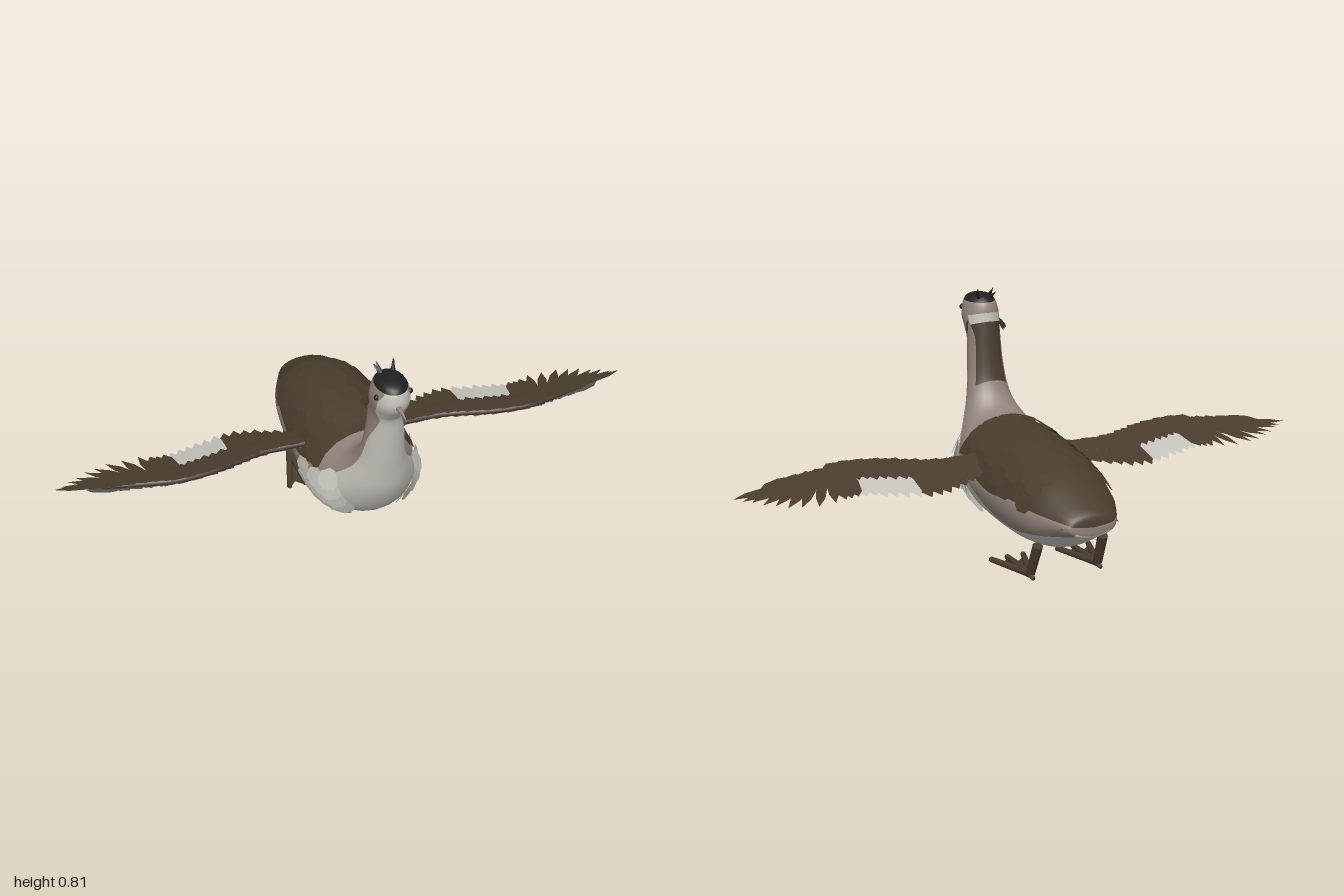
import * as THREE from 'three';
import { mergeGeometries } from 'three/addons/utils/BufferGeometryUtils.js';

const mat = (name, color) => Object.assign(new THREE.MeshStandardMaterial({ color, side: THREE.DoubleSide }), { name });
const V = (x, y, z) => new THREE.Vector3(x, y, z);

// Body stations, tail to crown: back z, y | belly z, y | half width | end angles of dark and mid bands
const RINGS = [
  [-0.518, 0.23, -0.518, 0.23, 0.001, 75, 120],
  [-0.514, 0.258, -0.514, 0.20, 0.065, 75, 120],
  [-0.50, 0.276, -0.50, 0.188, 0.088, 75, 135],
  [-0.45, 0.303, -0.45, 0.162, 0.115, 77, 128],
  [-0.36, 0.345, -0.36, 0.112, 0.152, 77, 119],
  [-0.25, 0.375, -0.25, 0.085, 0.172, 78, 123],
  [-0.10, 0.395, -0.12, 0.075, 0.18, 88, 120],
  [0.05, 0.405, 0.05, 0.082, 0.183, 80, 98],
  [0.14, 0.407, 0.17, 0.11, 0.17, 69, 93],
  [0.195, 0.415, 0.27, 0.175, 0.14, 50, 75],
  [0.235, 0.45, 0.34, 0.29, 0.10, 50, 80],
  [0.26, 0.50, 0.365, 0.40, 0.075, 50, 92],
  [0.275, 0.57, 0.383, 0.52, 0.063, 50, 105],
  [0.285, 0.65, 0.395, 0.62, 0.058, 52, 140],
  [0.292, 0.70, 0.415, 0.655, 0.06, 65, 122],
  [0.296, 0.73, 0.44, 0.69, 0.062, 68, 118],
  [0.30, 0.748, 0.45, 0.72, 0.059, 60, 118],
  [0.308, 0.763, 0.443, 0.76, 0.051, 60, 135],
  [0.33, 0.781, 0.42, 0.779, 0.034, 60, 120],
  [0.37, 0.789, 0.37, 0.789, 0.001, 60, 120],
];
// Band colours of each stretch: Dark, Taupe, Pale, Black
const BANDS = ['DTT', ...Array(7).fill('DTP'), 'TTP', 'TTP', 'TTP', 'DTP', 'DTP', 'DTP', 'PTP', 'TTP', 'TTP', 'BBB', 'BBB'];

// Smoothly interpolated station
function ringAt(u) {
  const last = RINGS.length - 1, i = Math.min(Math.floor(u), last - 1), f = u - i;
  const at = k => RINGS[Math.max(0, Math.min(last, k))];
  const [a, b, c, d] = [at(i - 1), at(i), at(i + 1), at(i + 2)];
  return b.map((_, k) => {
    const m0 = (c[k] - a[k]) / 2, m1 = (d[k] - b[k]) / 2;
    return b[k] + f * (m0 + f * (3 * (c[k] - b[k]) - 2 * m0 - m1 + f * (2 * (b[k] - c[k]) + m0 + m1)));
  });
}

// Surface point and outward normal; t runs from the back (0) over the left side to the belly (PI)
function skin(u, t) {
  const [bz, by, fz, fy, w] = ringAt(u);
  const az = (bz - fz) / 2, ay = (by - fy) / 2, h2 = az * az + ay * ay || 1, c = Math.cos(t), s = Math.sin(t);
  return {
    p: V(w * s, (by + fy) / 2 + ay * c, (bz + fz) / 2 + az * c),
    n: V(s / w, ay * c / h2, az * c / h2).normalize(),
  };
}

function bodyGeometry() {
  const SUB = 4, COUNTS = [4, 5, 6], HALF = 15, N = HALF * 2, rows = (RINGS.length - 1) * SUB;
  const pos = [], lists = { D: [], T: [], P: [], B: [] };
  for (let r = 0; r <= rows; r++) {
    const u = r / SUB, ring = ringAt(u), ends = [0, ring[5], ring[6], 180], angles = [0];
    COUNTS.forEach((n, k) => { for (let j = 1; j <= n; j++) angles.push(ends[k] + (ends[k + 1] - ends[k]) * j / n); });
    for (let j = 0; j < N; j++) {
      const deg = j <= HALF ? angles[j] : 360 - angles[N - j];
      pos.push(...skin(u, deg * Math.PI / 180).p.toArray());
    }
  }
  for (let r = 0; r < rows; r++) for (let j = 0; j < N; j++) {
    const k = j < HALF ? j : N - 1 - j, band = k < 4 ? 0 : k < 9 ? 1 : 2, q = (j + 1) % N;
    const a = r * N + j, b = a + N, c = r * N + q, d = c + N;
    lists[BANDS[Math.floor(r / SUB)][band]].push(a, b, c, c, b, d);
  }
  const g = new THREE.BufferGeometry();
  g.setAttribute('position', new THREE.Float32BufferAttribute(pos, 3));
  g.setIndex(Object.values(lists).flat());
  let start = 0;
  Object.values(lists).forEach((l, i) => { g.addGroup(start, l.length, i); start += l.length; });
  g.computeVertexNormals();
  return g;
}

// Flat pointed feather from base to tip
function feather(base, tip, width, normal) {
  const dir = tip.clone().sub(base), side = dir.clone().cross(normal).normalize().multiplyScalar(width);
  const outline = [[0, -0.3], [0.25, -0.5], [0.75, -0.42], [1, 0], [0.75, 0.42], [0.25, 0.5], [0, 0.3]];
  const g = new THREE.BufferGeometry();
  g.setAttribute('position', new THREE.Float32BufferAttribute(
    outline.flatMap(([a, b]) => base.clone().addScaledVector(dir, a).addScaledVector(side, b).toArray()), 3));
  g.setIndex([0, 1, 2, 0, 2, 3, 0, 3, 4, 0, 4, 5, 0, 5, 6]);
  g.computeVertexNormals();
  return g;
}

// Feather lying on the body, pointing to the tail
function bodyFeather(u, deg, len, width, lift, s) {
  const t = s * deg * Math.PI / 180, a = skin(u, t), b = skin(u - len, t);
  return feather(a.p.addScaledVector(a.n, 0.004), b.p.addScaledVector(b.n, lift), width, a.n);
}

// Tapered rod between two points
function rod(a, b, ra, rb, sides = 10) {
  const d = b.clone().sub(a), g = new THREE.CylinderGeometry(rb, ra, d.length(), sides);
  g.applyQuaternion(new THREE.Quaternion().setFromUnitVectors(V(0, 1, 0), d.clone().normalize()));
  return g.translate(...a.clone().add(b).multiplyScalar(0.5).toArray());
}

export function createModel() {
  const model = new THREE.Group();
  model.name = 'waterbird';
  const dark = mat('dark brown', 0x4a3d2e), taupe = mat('taupe', 0x94857d), pale = mat('pale grey', 0xc6c4bc);
  const black = mat('black', 0x202020), under = mat('wing underside grey', 0x575552);
  const add = (name, geo, material, parent = model) => {
    const m = new THREE.Mesh(Array.isArray(geo) ? mergeGeometries(geo) : geo, material);
    m.name = name;
    parent.add(m);
  };
  add('body', bodyGeometry(), [dark, taupe, pale, black]);
  add('bill', rod(V(0, 0.715, 0.435), V(0, 0.713, 0.515), 0.011, 0.001), taupe);

  // Back plumage with a slightly raised saddle row
  const back = [];
  for (let i = 0; i < 8; i++) for (let j = -3; j <= 3; j++) {
    const u = 8.1 - i * 0.5, deg = j * 21 + (i % 2 ? 7 : 0);
    if (Math.abs(deg) < 72) back.push(bodyFeather(u, deg, 0.75, 0.07, Math.abs(j) < 2 && i > 0 && i < 4 ? 0.016 : 0.007, 1));
  }
  add('backFeathers', back, dark);

  for (const s of [1, -1]) {
    const side = s > 0 ? 'left' : 'right';

    // Breast and flank plumage
    const flank = [];
    for (let i = 0; i < 5; i++) for (let j = 0; j < 4; j++)
      flank.push(bodyFeather(9.3 - i * 0.45, 86 + j * 15 + (i % 2) * 7, 0.8 - i * 0.05, 0.075, 0.024 - i * 0.002, s));
    add(side + 'FlankFeathers', flank, pale);

    // Wing, lying on a plane sloping down to the rear
    const wing = new THREE.Group();
    wing.name = side + 'Wing';
    model.add(wing);
    const W = (x, z, lift = 0) => V(s * x, 0.305 + 0.2 * z + lift, z);
    const up = V(0, 1, -0.2).normalize();
    const lead = new THREE.CatmullRomCurve3([V(0.13, 0, 0.03), V(0.32, 0, 0.03), V(0.48, 0, 0.08), V(0.61, 0, 0.095), V(0.72, 0, 0.07), V(0.85, 0, 0.03)]);
    const rear = new THREE.CatmullRomCurve3([V(0.15, 0, -0.05), V(0.25, 0, -0.12), V(0.37, 0, -0.165), V(0.5, 0, -0.135), V(0.61, 0, -0.1), V(0.69, 0, -0.11)]);

    // Leading-edge arm
    const arm = new THREE.TubeGeometry(new THREE.CatmullRomCurve3(
      [...lead.getPoints(10)].map(p => W(p.x, p.z - 0.008))), 24, 0.011, 8);
    add('wingArm', arm, dark, wing);

    // Flight feathers and two layers of coverts, with a pale patch
    const flight = [], patch = [], coverts = [], lining = [];
    for (let i = 0; i < 18; i++) {
      const f = i / 17, b = lead.getPoint(f * 0.66), t = rear.getPoint(f * 0.93), white = t.x > 0.42 && t.x < 0.605;
      const mid = b.clone().lerp(t, 0.35), lift = (i % 2) * 0.002;
      (white ? patch : flight).push(feather(W(mid.x, mid.z, lift), W(t.x, t.z, lift), 0.045, up));
      const c1 = b.clone().lerp(t, 0.52), c2 = b.clone().lerp(t, 0.3);
      coverts.push(feather(W(b.x, b.z, 0.009 + lift), W(c1.x, c1.z, 0.005 + lift), 0.05, up));
      coverts.push(feather(W(b.x, b.z + 0.01, 0.013 + lift), W(c2.x, c2.z, 0.012 + lift), 0.05, up));
      lining.push(feather(W(b.x, b.z, -0.01 - lift), W(c1.x, c1.z, -0.006 - lift), 0.055, up));
      const c3 = b.clone().lerp(t, 0.85);
      if (!white) lining.push(feather(W(c1.x, c1.z, -0.004 - lift), W(c3.x, c3.z, -0.004 - lift), 0.045, up));
    }
    // Fanned primaries
    const tips = [[0.66, -0.105], [0.70, -0.12], [0.755, -0.122], [0.81, -0.118], [0.85, -0.105], [0.885, -0.088], [0.92, -0.068], [0.95, -0.048], [0.975, -0.03], [1.0, -0.015]];
    tips.forEach(([x, z], i) => {
      const b = lead.getPoint(0.66 + i * 0.03), lift = (i % 2) * 0.003;
      flight.push(feather(W(b.x, b.z - 0.01, lift), W(x, z, lift), 0.036, up));
      const k = b.clone().lerp(V(x, 0, z), 0.5);
      coverts.push(feather(W(b.x, b.z, 0.01 + lift), W(k.x, k.z, 0.007 + lift), 0.04, up));
      lining.push(feather(W(b.x, b.z, -0.009 - lift), W(k.x, k.z, -0.005 - lift), 0.04, up));
    });
    add('flightFeathers', flight, dark, wing);
    add('wingCoverts', coverts, dark, wing);
    add('wingPatch', patch, pale, wing);
    add('wingLining', lining, under, wing);

    // Leg, three toes and webbing
    const ankle = V(s * 0.12, 0.02, -0.31), toes = [0.062, 0.12, 0.178].map(x => V(s * x, 0.012, -0.125));
    add(side + 'Leg', rod(V(s * 0.115, 0.13, -0.355), ankle, 0.017, 0.015), dark);
    add(side + 'Toes', [...toes.map(t => rod(ankle, t, 0.013, 0.009, 8)), rod(ankle, V(s * 0.12, 0.01, -0.335), 0.012, 0.006, 8)], dark);
    const web = new THREE.BufferGeometry().setFromPoints([ankle, toes[0], V(s * 0.092, 0.01, -0.155), toes[1], V(s * 0.148, 0.01, -0.155), toes[2]]
      .map(p => p.clone().setY(0.004)));
    web.setIndex([0, 1, 2, 0, 2, 3, 0, 3, 4, 0, 4, 5]);
    web.computeVertexNormals();
    add(side + 'Web', web, dark);

    // Eye, ear tuft, crest and rump tuft
    const eye = skin(16.2, s * 1.92);
    add(side + 'Eye', new THREE.SphereGeometry(0.009, 12, 8).translate(...eye.p.toArray()), black);
    add(side + 'EarTuft', [0, 1, 2].map(i => feather(V(s * 0.058, 0.70 - i * 0.004, 0.352 - i * 0.006),
      V(s * (0.068 + i * 0.003), 0.655 + i * 0.007, 0.322 - i * 0.004), 0.02, V(s, 0, 0))), dark);
    add(side + 'Crest', [rod(V(s * 0.018, 0.772, 0.345), V(s * 0.028, 0.81, 0.32), 0.01, 0.001, 5),
      rod(V(s * 0.018, 0.772, 0.335), V(s * 0.034, 0.797, 0.313), 0.008, 0.001, 5)], black);
    add(side + 'RumpTuft', rod(V(s * 0.085, 0.23, -0.465), V(s * 0.098, 0.228, -0.495), 0.008, 0.001, 5), dark);
  }
  return model;
}
